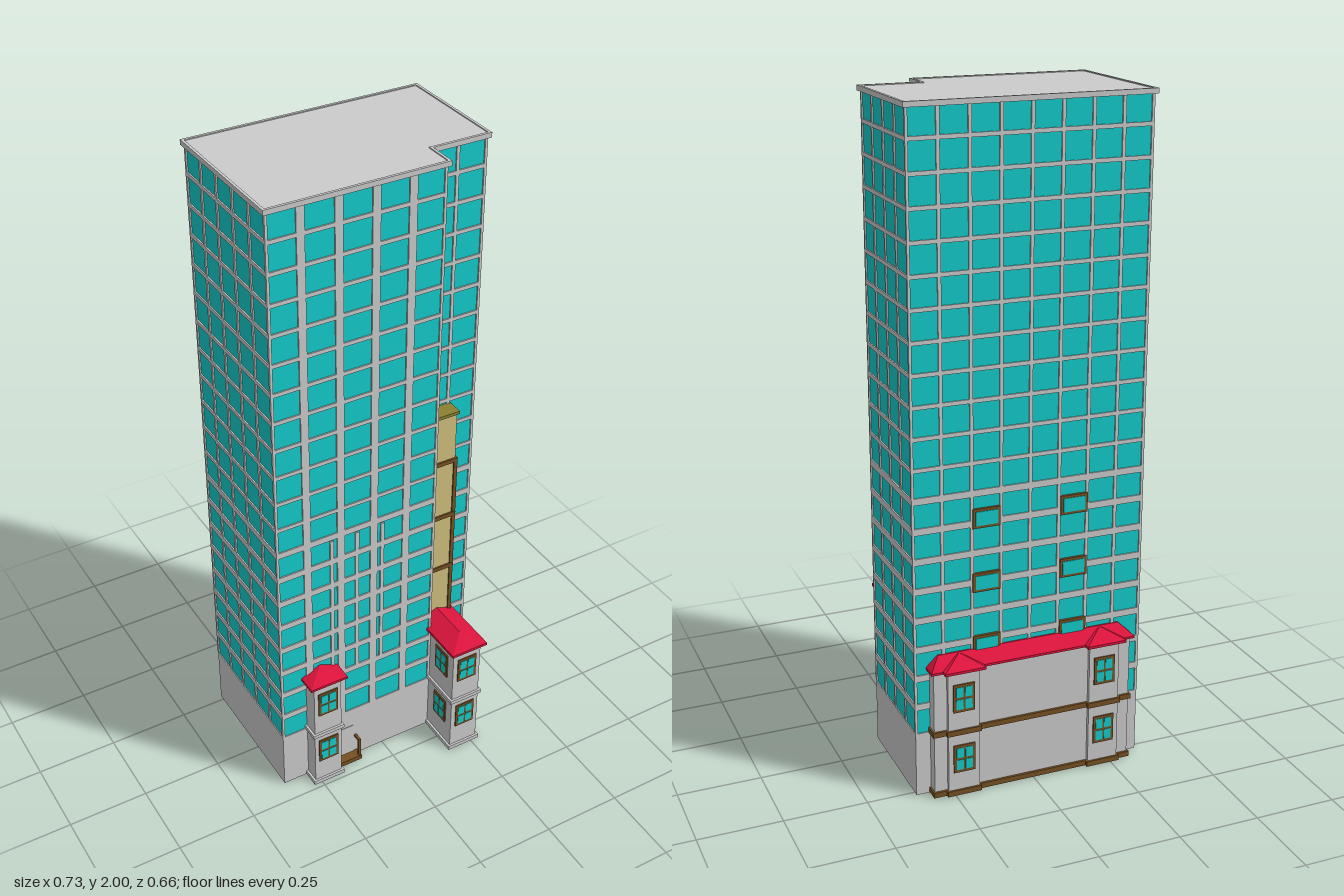
import * as THREE from 'three';
import { ConvexGeometry } from 'three/addons/geometries/ConvexGeometry.js';

const paint = (color) => new THREE.MeshStandardMaterial({ color });

export function createModel() {
  const model = new THREE.Group();
  model.name = 'towerBlock';
  const grey = paint(0xcccccc);
  const glass = paint(0x14cccc);
  const red = paint(0xdc143c);
  const brown = paint(0x765022);
  const tan = paint(0xd0c07c);
  const olive = paint(0x8a8030);

  const add = (name, geometry, material, parent = model) => {
    const mesh = new THREE.Mesh(geometry, material);
    mesh.name = name;
    parent.add(mesh);
    return mesh;
  };
  // Box given by its limits on each axis
  const box = (name, x0, x1, y0, y1, z0, z1, material, parent) => {
    const g = new THREE.BoxGeometry(x1 - x0, y1 - y0, z1 - z0);
    g.translate((x0 + x1) / 2, (y0 + y1) / 2, (z0 + z1) / 2);
    return add(name, g, material, parent);
  };
  // Plan outlines as [x, z] corners; o grows or shrinks the outline
  const towerPlan = (o) => [
    [-0.355 - o, 0.18 + o], [0.172 + o, 0.18 + o], [0.172 + o, 0.09 + o],
    [0.355 + o, 0.09 + o], [0.355 + o, -0.267 - o], [-0.355 - o, -0.267 - o],
  ];
  const rectPlan = (x0, x1, z0, z1, o = 0) => [
    [x0 - o, z1 + o], [x1 + o, z1 + o], [x1 + o, z0 - o], [x0 - o, z0 - o],
  ];
  const toPoints = (plan) => plan.map(([x, z]) => new THREE.Vector2(x, -z));
  // Vertical extrusion of a plan, optionally hollow
  const prism = (name, plan, y0, y1, material, hole, parent) => {
    const shape = new THREE.Shape(toPoints(plan));
    if (hole) shape.holes.push(new THREE.Path(toPoints(hole)));
    const g = new THREE.ExtrudeGeometry(shape, { depth: y1 - y0, bevelEnabled: false });
    g.rotateX(-Math.PI / 2);
    g.translate(0, y0, 0);
    return add(name, g, material, parent);
  };
  const hull = (name, points, material) =>
    add(name, new ConvexGeometry(points.map((p) => new THREE.Vector3(...p))), material);

  // Hollow ground floor, glazed core and roof slab
  prism('baseWalls', towerPlan(0), 0, 0.2, grey, towerPlan(-0.02));
  prism('baseInnerTrim', towerPlan(-0.02), 0.01, 0.03, brown, towerPlan(-0.035));
  prism('groundFloorCeiling', towerPlan(-0.01), 0.18, 0.199, grey);
  prism('glassCore', towerPlan(-0.003), 0.199, 1.985, glass);
  prism('roofSlab', towerPlan(0.008), 1.985, 1.997, grey);
  prism('roofEdge', towerPlan(0.008), 1.997, 2, grey, towerPlan(0));

  // Floor bands, heavier on the lower storeys
  for (let i = 1; i < 20; i++) {
    const y = 0.195 + i * 0.09;
    const half = y < 0.93 ? 0.01 : 0.006;
    prism('floorBand', towerPlan(0.001), y - half, y + half, grey);
  }

  // Vertical mullions on every face
  const mullions = new THREE.Group();
  mullions.name = 'mullions';
  model.add(mullions);
  const barX = (x, z, w, y0 = 0.2, y1 = 1.985) =>
    box('mullion', x - w / 2, x + w / 2, y0, y1, z - 0.004, z + 0.004, grey, mullions);
  const barZ = (x, z, w) =>
    box('mullion', x - 0.004, x + 0.004, 0.2, 1.985, z - w / 2, z + w / 2, grey, mullions);
  for (const x of [-0.257, -0.147, -0.037, 0.072]) barX(x, 0.177, 0.024);
  for (const x of [-0.177, -0.093, -0.008]) barX(x, 0.177, 0.012, 0.37, 0.9);
  barX(0.264, 0.087, 0.01);
  for (let i = 1; i < 8; i++) barX(-0.355 + i * 0.0888, -0.264, 0.01);
  for (let i = 1; i < 5; i++) {
    const z = -0.267 + i * 0.0894;
    barZ(-0.352, z, 0.01);
    if (i < 4) barZ(0.352, z, 0.01);
  }
  for (const [x, z] of towerPlan(-0.003)) {
    box('cornerPost', x - 0.004, x + 0.004, 0.2, 1.985, z - 0.004, z + 0.004, grey, mullions);
  }

  // Framed window with four panes, facing +z before turning
  const windowAt = (x, y, z, turn, w = 0.066, h = 0.088) => {
    const group = new THREE.Group();
    group.name = 'window';
    group.position.set(x, y, z);
    group.rotation.y = turn;
    box('windowFrame', -w / 2, w / 2, -h / 2, h / 2, -0.003, 0.003, brown, group);
    for (const sx of [-1, 1]) {
      for (const sy of [-1, 1]) {
        const pane = box('windowPane', -w * 0.17, w * 0.17, -h * 0.18, h * 0.18, -0.001, 0.001, glass, group);
        pane.position.set(sx * w * 0.21, sy * h * 0.22, 0.003);
      }
    }
    model.add(group);
  };
  const levels = [0.135, 0.33];

  // Hollow two-storey bay with plinth and string course
  const bay = (name, x0, x1, z0, z1) => {
    const group = new THREE.Group();
    group.name = name;
    model.add(group);
    const inner = rectPlan(x0, x1, z0, z1, -0.012);
    prism('bayWalls', rectPlan(x0, x1, z0, z1), 0, 0.41, grey, inner, group);
    prism('bayPlinth', rectPlan(x0, x1, z0, z1, 0.007), 0, 0.014, grey, inner, group);
    prism('bayLedge', rectPlan(x0, x1, z0, z1, 0.007), 0.2, 0.213, grey, null, group);
  };

  // Front bay with a small hipped roof against the tower
  bay('frontBay', -0.27, -0.177, 0.17, 0.228);
  hull('frontBayRoof', [
    [-0.285, 0.405, 0.17], [-0.16, 0.405, 0.17], [-0.285, 0.405, 0.239], [-0.16, 0.405, 0.239],
    [-0.285, 0.413, 0.17], [-0.16, 0.413, 0.17], [-0.285, 0.413, 0.239], [-0.16, 0.413, 0.239],
    [-0.2225, 0.44, 0.18], [-0.2225, 0.44, 0.17],
  ], red);
  for (const y of levels) windowAt(-0.2235, y, 0.229, 0);

  // Deep front wing with a hipped ridge roof
  bay('frontWing', 0.173, 0.271, 0.08, 0.313);
  hull('frontWingRoof', [
    [0.16, 0.405, 0.092], [0.285, 0.405, 0.092], [0.16, 0.405, 0.327], [0.285, 0.405, 0.327],
    [0.16, 0.414, 0.092], [0.285, 0.414, 0.092], [0.16, 0.414, 0.327], [0.285, 0.414, 0.327],
    [0.2225, 0.44, 0.092], [0.2225, 0.44, 0.266],
  ], red);
  for (const y of levels) {
    windowAt(0.222, y, 0.314, 0);
    windowAt(0.272, y, 0.213, Math.PI / 2);
    windowAt(0.172, y, 0.25, -Math.PI / 2);
  }

  // Stair shaft rising in the notch
  box('stairShaft', 0.172, 0.267, 0, 1.165, 0.085, 0.135, tan);
  box('shaftCap', 0.172, 0.273, 1.162, 1.172, 0.085, 0.14, olive);
  box('shaftCornerPost', 0.261, 0.273, 0, 1, 0.127, 0.139, brown);
  for (let i = 0; i < 4; i++) {
    const y = 0.4 + i * 0.2;
    box('shaftBand', 0.172, 0.273, y - 0.007, y + 0.007, 0.085, 0.14, brown);
    box('shaftWindowFrame', 0.173, 0.2, y + 0.02, y + 0.115, 0.13, 0.137, olive);
    box('shaftWindow', 0.173, 0.195, y + 0.025, y + 0.11, 0.13, 0.139, glass);
  }

  // Entrance step with handrail posts
  box('entranceStep', -0.177, -0.093, 0, 0.016, 0.178, 0.211, brown);
  for (const x of [-0.174, -0.099]) {
    box('railPost', x - 0.004, x + 0.004, 0.016, 0.085, 0.2, 0.208, brown);
    box('handrail', x - 0.004, x + 0.004, 0.077, 0.085, 0.178, 0.208, brown);
  }
  box('entranceDoor', -0.165, -0.107, 0.016, 0.13, 0.178, 0.182, grey);

  // Rear range with lean-to roof
  prism('rearWalls', rectPlan(-0.31, 0.31, -0.3, -0.26), 0, 0.415, grey, rectPlan(-0.31, 0.31, -0.3, -0.26, -0.01));
  for (const y of [0.002, 0.198]) {
    box('rearBand', -0.315, 0.315, y, y + 0.016, -0.307, -0.262, brown);
  }
  hull('rearRoof', [
    [-0.32, 0.4, -0.312], [0.32, 0.4, -0.312], [-0.32, 0.4, -0.265], [0.32, 0.4, -0.265],
    [-0.32, 0.407, -0.312], [0.32, 0.407, -0.312], [-0.32, 0.407, -0.265], [0.32, 0.407, -0.265],
    [-0.285, 0.44, -0.27], [0.285, 0.44, -0.27], [-0.285, 0.44, -0.265], [0.285, 0.44, -0.265],
  ], red);

  // Two rear bays
  for (const s of [-1, 1]) {
    const c = s * 0.2225;
    box('rearBay', c - 0.048, c + 0.048, 0, 0.405, -0.311, -0.29, grey);
    for (const y of [0.002, 0.198]) {
      box('rearBayBand', c - 0.053, c + 0.053, y, y + 0.016, -0.317, -0.29, brown);
    }
    const corners = [];
    for (const x of [c - 0.0625, c + 0.0625]) {
      for (const y of [0.4, 0.408]) corners.push([x, y, -0.33], [x, y, -0.296]);
    }
    hull('rearBayRoof', [...corners, [c, 0.44, -0.275], [c, 0.425, -0.275]], red);
    for (const y of levels) windowAt(c, y - 0.015, -0.312, Math.PI);

    // Small framed windows on the rear glazing
    for (const y of [0.45, 0.645, 0.84]) {
      const x = s * 0.135;
      box('rearWindowFrame', x - 0.042, x + 0.042, y - 0.029, y + 0.029, -0.272, -0.262, brown);
      box('rearWindowPane', x - 0.034, x + 0.034, y - 0.021, y + 0.021, -0.274, -0.262, glass);
    }
  }
  return model;
}
